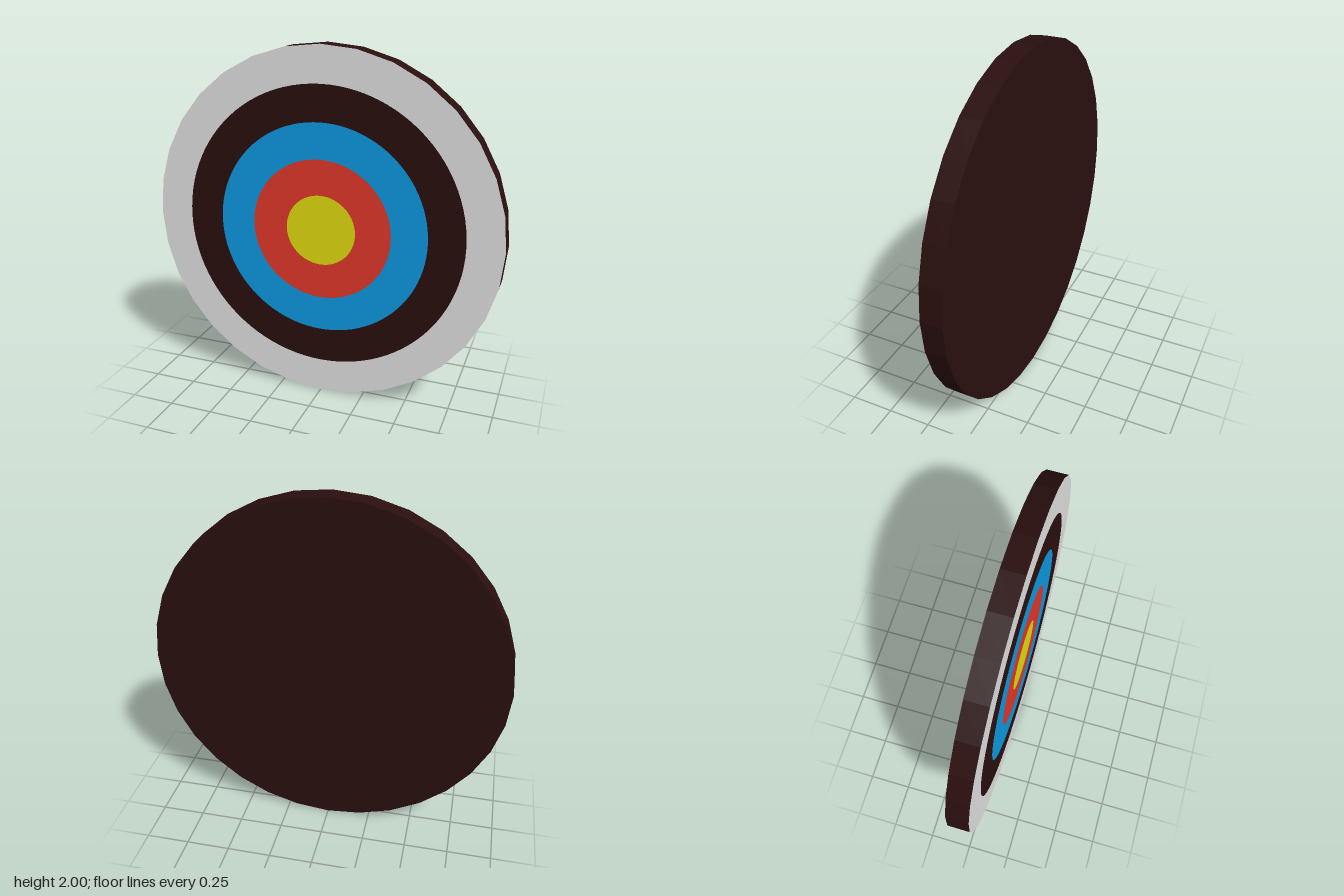
import * as THREE from 'three';

const SIDES = 32, RADIUS = 1, HALF = 0.06, ROUND = 96;

function paint(name, color) {
  const m = new THREE.MeshStandardMaterial({ color });
  m.name = name;
  return m;
}

function circlePoints(radius, count) {
  return Array.from({ length: count }, (_, i) => {
    const a = (i / count) * Math.PI * 2;
    return new THREE.Vector2(Math.cos(a) * radius, Math.sin(a) * radius);
  });
}

export function createModel() {
  const white = paint('white', 0xffffff);
  const black = paint('black', 0x2b0f0f);
  const blue = paint('blue', 0x0fa8f5);
  const red = paint('red', 0xf13c2e);
  const yellow = paint('yellow', 0xfffa12);
  black.flatShading = true;

  const model = new THREE.Group();
  model.name = 'target';
  const add = (name, geometry, material, z = 0) => {
    const mesh = new THREE.Mesh(geometry, material);
    mesh.name = name;
    mesh.position.set(0, RADIUS, z);
    model.add(mesh);
    return mesh;
  };

  // faceted rim and back of the board
  const rim = new THREE.CylinderGeometry(RADIUS, RADIUS, HALF * 2, SIDES, 1, true);
  add('rim', rim.rotateX(Math.PI / 2), black);
  add('back', new THREE.CircleGeometry(RADIUS, SIDES).rotateY(Math.PI), black, -HALF);

  // front rings, flush with one another
  const rings = [
    ['outerRing', 1.0, white],
    ['blackRing', 0.8, black],
    ['blueRing', 0.6, blue],
    ['redRing', 0.4, red],
    ['bullseye', 0.2, yellow],
  ];
  rings.forEach(([name, radius, material], i) => {
    const shape = new THREE.Shape(circlePoints(radius, i === 0 ? SIDES : ROUND));
    if (i < rings.length - 1) {
      shape.holes.push(new THREE.Path(circlePoints(rings[i + 1][1], ROUND)));
    }
    add(name, new THREE.ShapeGeometry(shape), material, HALF);
  });

  return model;
}
